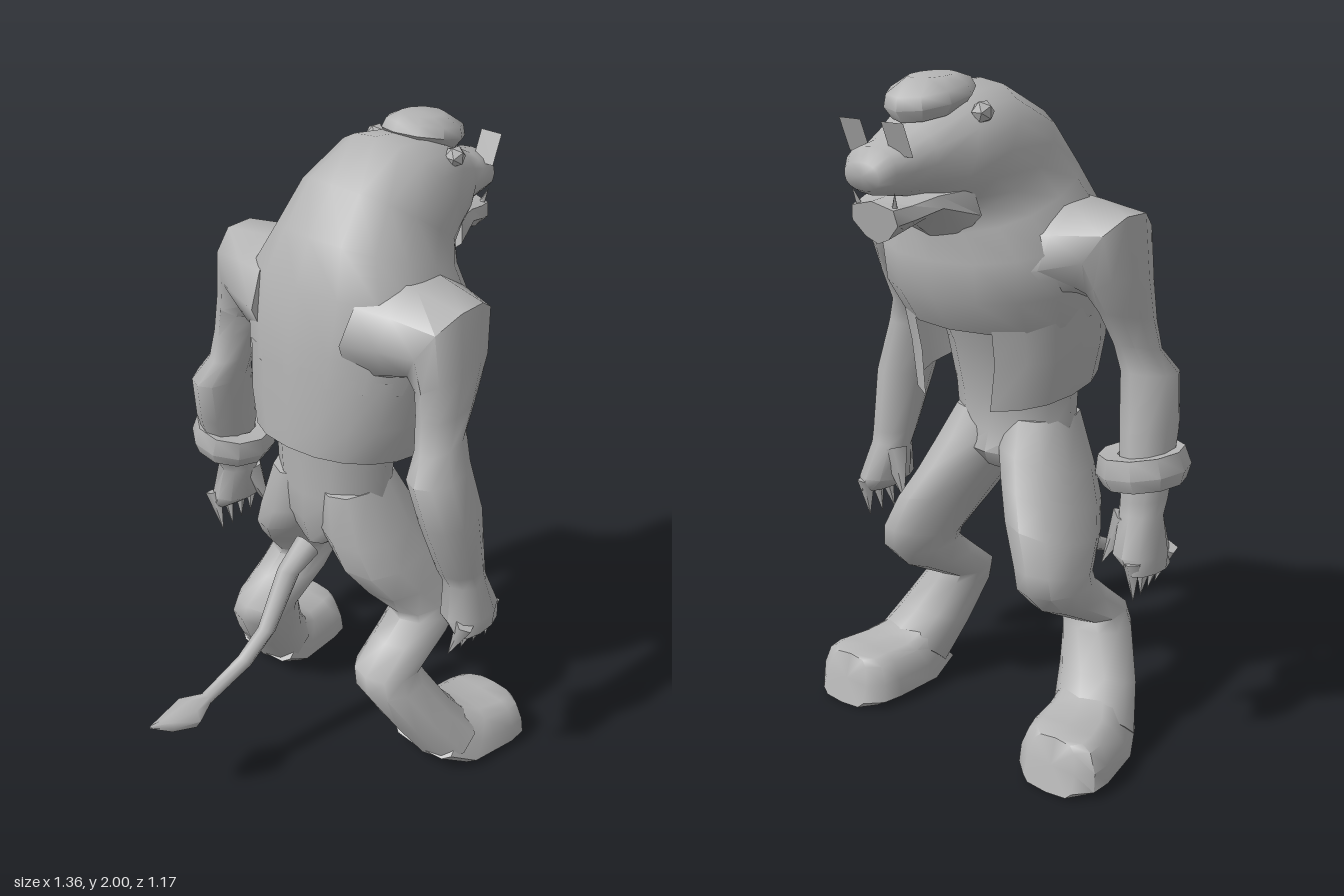
import * as THREE from 'three';
import { toCreasedNormals, mergeVertices } from 'three/addons/utils/BufferGeometryUtils.js';

const clay = new THREE.MeshStandardMaterial({ color: 0xb4b4b4, side: THREE.DoubleSide });
clay.name = 'clay grey';

// Skin over cross-sections. Each ring: [x0,y0, x1,y1, z, halfWidth, slope]
// (x0,y0)-(x1,y1) is the ring's span in the side profile, slope tips it sideways,
// taper narrows it towards (x1,y1).
function loft(rings, { n = 12, p = 1, gap = 0, crease = 1, taper = 0 } = {}) {
  const pos = [], idx = [];
  const pw = (v) => Math.sign(v) * Math.pow(Math.abs(v) < 1e-6 ? 0 : Math.abs(v), p);
  const cols = gap ? n + 1 : n;
  for (const [x0, y0, x1, y1, z, b, k = 0] of rings) {
    for (let i = 0; i < cols; i++) {
      const t = gap + (i / n) * (2 * Math.PI - 2 * gap);
      const c = pw(Math.cos(t)), s = pw(Math.sin(t)) * b * (1 - taper * c);
      pos.push((x0 + x1) / 2 + c * (x1 - x0) / 2, (y0 + y1) / 2 + c * (y1 - y0) / 2 + k * s, z + s);
    }
  }
  for (let r = 0; r < rings.length - 1; r++) {
    for (let i = 0; i < n; i++) {
      const j = (i + 1) % cols, a = r * cols, d = a + cols;
      idx.push(a + i, a + j, d + j, a + i, d + j, d + i);
    }
  }
  if (!gap) {
    [0, rings.length - 1].forEach((r, e) => {
      const [x0, y0, x1, y1, z] = rings[r], m = pos.length / 3;
      pos.push((x0 + x1) / 2, (y0 + y1) / 2, z);
      for (let i = 0; i < n; i++) {
        const a = r * cols + i, b = r * cols + (i + 1) % n;
        idx.push(m, e ? a : b, e ? b : a);
      }
    });
  }
  // turn the faces outward
  let vol = 0;
  const v = (i) => new THREE.Vector3().fromArray(pos, i * 3);
  for (let i = 0; i < idx.length; i += 3) vol += v(idx[i]).dot(v(idx[i + 1]).cross(v(idx[i + 2])));
  if (vol < 0) idx.reverse();
  const g = new THREE.BufferGeometry();
  g.setAttribute('position', new THREE.Float32BufferAttribute(pos, 3));
  g.setIndex(idx);
  return toCreasedNormals(mergeVertices(g), crease);
}

export function createModel() {
  const root = new THREE.Group();
  const body = new THREE.Group();
  body.name = 'creature';
  body.position.z = 0.02;
  root.add(body);
  const add = (name, geo) => {
    const m = new THREE.Mesh(geo, clay);
    m.name = name;
    body.add(m);
    return m;
  };
  // cone from a base point to a tip
  const spike = (name, from, to, r, sides = 5) => {
    const a = new THREE.Vector3(...from), d = new THREE.Vector3(...to).sub(a);
    const m = add(name, new THREE.ConeGeometry(r, d.length(), sides));
    m.position.copy(a).addScaledVector(d, 0.5);
    m.quaternion.setFromUnitVectors(new THREE.Vector3(0, 1, 0), d.normalize());
  };

  // hunched back, neck and upper face
  add('torsoAndHead', loft([
    [-0.155, 1.36, 0.35, 1.29, 0, 0.305],
    [-0.15, 1.45, 0.415, 1.39, 0, 0.325],
    [-0.12, 1.62, 0.425, 1.5, 0, 0.33],
    [-0.07, 1.75, 0.42, 1.58, 0, 0.255],
    [0.02, 1.88, 0.43, 1.62, 0, 0.22],
    [0.2, 1.97, 0.44, 1.64, 0, 0.205],
    [0.37, 1.95, 0.47, 1.66, 0, 0.172],
    [0.51, 1.88, 0.52, 1.69, 0, 0.12],
    [0.58, 1.845, 0.58, 1.7, 0, 0.1],
    [0.64, 1.835, 0.64, 1.71, 0, 0.09],
    [0.68, 1.8, 0.67, 1.725, 0, 0.06],
  ], { p: 0.9, n: 16 }));

  // open waistcoat skirt
  add('waistcoat', loft([
    [-0.152, 1.4, 0.36, 1.33, 0, 0.31],
    [-0.162, 1.24, 0.335, 1.2, 0, 0.295],
    [-0.165, 1.13, 0.34, 1.06, 0, 0.265],
  ], { p: 0.9, gap: 0.43, n: 16 }));

  // belly, waist and hips
  add('belly', loft([
    [-0.13, 1.4, 0.32, 1.4, 0, 0.26],
    [-0.11, 1.2, 0.22, 1.2, 0, 0.22],
    [-0.105, 1.05, 0.19, 1.05, 0, 0.2],
    [-0.1, 0.94, 0.18, 0.94, 0, 0.195],
    [-0.1, 0.85, 0.2, 0.88, 0, 0.19],
    [-0.07, 0.75, 0.15, 0.82, 0, 0.08],
  ]));

  // lower jaw with pointed chin
  add('jaw', loft([
    [0.38, 1.54, 0.42, 1.74, 0, 0.165],
    [0.5, 1.625, 0.51, 1.715, 0, 0.125],
    [0.57, 1.6, 0.59, 1.7, 0, 0.1],
    [0.622, 1.58, 0.643, 1.695, 0, 0.08],
  ], { n: 8, taper: -0.4 }));

  // flat round cap
  add('cap', loft([
    [0.3, 1.93, 0.52, 1.88, 0, 0.09],
    [0.275, 1.965, 0.54, 1.91, 0, 0.115],
    [0.29, 1.99, 0.535, 1.945, 0, 0.105],
    [0.33, 2.0, 0.47, 1.99, 0, 0.06],
  ], { n: 10 }));

  // tail with a spade tip
  add('tail', loft([
    [-0.1, 0.78, -0.05, 0.7, -0.005, 0.04],
    [-0.18, 0.69, -0.12, 0.66, -0.015, 0.035],
    [-0.26, 0.5, -0.21, 0.48, -0.03, 0.028],
    [-0.34, 0.43, -0.31, 0.39, -0.04, 0.025],
    [-0.48, 0.36, -0.47, 0.325, -0.055, 0.022],
    [-0.54, 0.365, -0.55, 0.28, -0.065, 0.06],
    [-0.62, 0.345, -0.62, 0.295, -0.075, 0.035],
    [-0.68, 0.345, -0.68, 0.335, -0.08, 0.004],
  ], { n: 8 }));

  for (const s of [1, -1]) {
    const side = s > 0 ? 'right' : 'left';

    // arm from inside the chest, over the shoulder and down to the palm
    add(side + 'Arm', loft([
      [-0.13, 1.5, 0.36, 1.47, s * 0.17, 0.02, s * 9],
      [-0.1, 1.51, 0.31, 1.49, s * 0.28, 0.02, s * 7.6],
      [-0.055, 1.5, 0.24, 1.51, s * 0.375, 0.078, s * 1.65],
      [-0.045, 1.4, 0.215, 1.44, s * 0.395, 0.072, s * 0.5],
      [-0.05, 1.31, 0.165, 1.36, s * 0.405, 0.067],
      [-0.065, 1.22, 0.11, 1.26, s * 0.417, 0.06],
      [-0.115, 1.15, 0.095, 1.18, s * 0.44, 0.078],
      [-0.08, 1.0, 0.13, 1.02, s * 0.465, 0.08],
      [-0.01, 0.82, 0.145, 0.82, s * 0.48, 0.068],
      [0.02, 0.77, 0.15, 0.78, s * 0.482, 0.066],
      [0.0, 0.66, 0.2, 0.67, s * 0.495, 0.075],
      [0.01, 0.61, 0.19, 0.62, s * 0.525, 0.04],
    ], { n: 10 }));

    // claws and thumb
    for (let i = 0; i < 4; i++) {
      const x = 0.025 + i * 0.05;
      spike(side + 'Claw', [x, 0.66, s * (0.54 - i * 0.008)], [x - 0.01, 0.53, s * (0.49 + i * 0.008)], 0.03);
    }
    spike(side + 'Thumb', [0.11, 0.76, s * 0.45], [0.14, 0.605, s * 0.385], 0.045);

    // bent leg
    add(side + 'Leg', loft([
      [-0.095, 0.97, 0.165, 0.99, s * 0.1, 0.085],
      [-0.105, 0.82, 0.215, 0.89, s * 0.125, 0.13, -s * 0.2],
      [-0.09, 0.73, 0.26, 0.8, s * 0.165, 0.128, -s * 0.25],
      [-0.03, 0.64, 0.305, 0.71, s * 0.21, 0.12, -s * 0.2],
      [0.06, 0.54, 0.33, 0.6, s * 0.255, 0.1],
      [0.06, 0.52, 0.325, 0.53, s * 0.262, 0.1],
      [-0.01, 0.46, 0.26, 0.46, s * 0.262, 0.1],
      [-0.1, 0.38, 0.1, 0.37, s * 0.265, 0.1],
      [-0.105, 0.32, 0.11, 0.345, s * 0.28, 0.105],
      [-0.02, 0.17, 0.16, 0.24, s * 0.33, 0.125],
      [0.07, 0.03, 0.22, 0.165, s * 0.37, 0.135],
    ], { n: 10, p: 0.9 }));

    // broad flat foot
    add(side + 'Foot', loft([
      [0.06, 0.05, 0.19, 0.19, s * 0.36, 0.115],
      [0.15, 0.0, 0.24, 0.168, s * 0.38, 0.135],
      [0.32, 0.0, 0.32, 0.165, s * 0.4, 0.142],
      [0.385, 0.0, 0.365, 0.16, s * 0.405, 0.132],
      [0.435, 0.0, 0.388, 0.155, s * 0.407, 0.085],
    ], { p: 0.5, crease: 0.8, taper: 0.14 }));

    // ears and fangs
    add(side + 'Ear', new THREE.IcosahedronGeometry(0.032, 0)).position.set(0.37, 1.905, s * 0.148);
    spike(side + 'Fang', [0.62, 1.67, s * 0.06], [0.635, 1.725, s * 0.075], 0.012, 4);

    // eye plates leaning forward
    const eye = add(side + 'EyePlate', new THREE.PlaneGeometry(0.075, 0.095));
    eye.rotation.order = 'YXZ';
    eye.rotation.set(0.37, Math.PI / 2, 0);
    eye.position.set(0.618, 1.855, s * 0.073);
  }

  // heavy tilted bracelet on one wrist
  const band = add('bracelet', new THREE.LatheGeometry(
    [[0.07, -0.045], [0.12, -0.05], [0.138, -0.01], [0.125, 0.045], [0.07, 0.04], [0.07, -0.045]]
      .map(([x, y]) => new THREE.Vector2(x, y)), 10));
  band.geometry = toCreasedNormals(band.geometry, 0.8);
  band.position.set(0.055, 0.905, -0.465);
  band.rotation.x = 0.15;

  return root;
}
